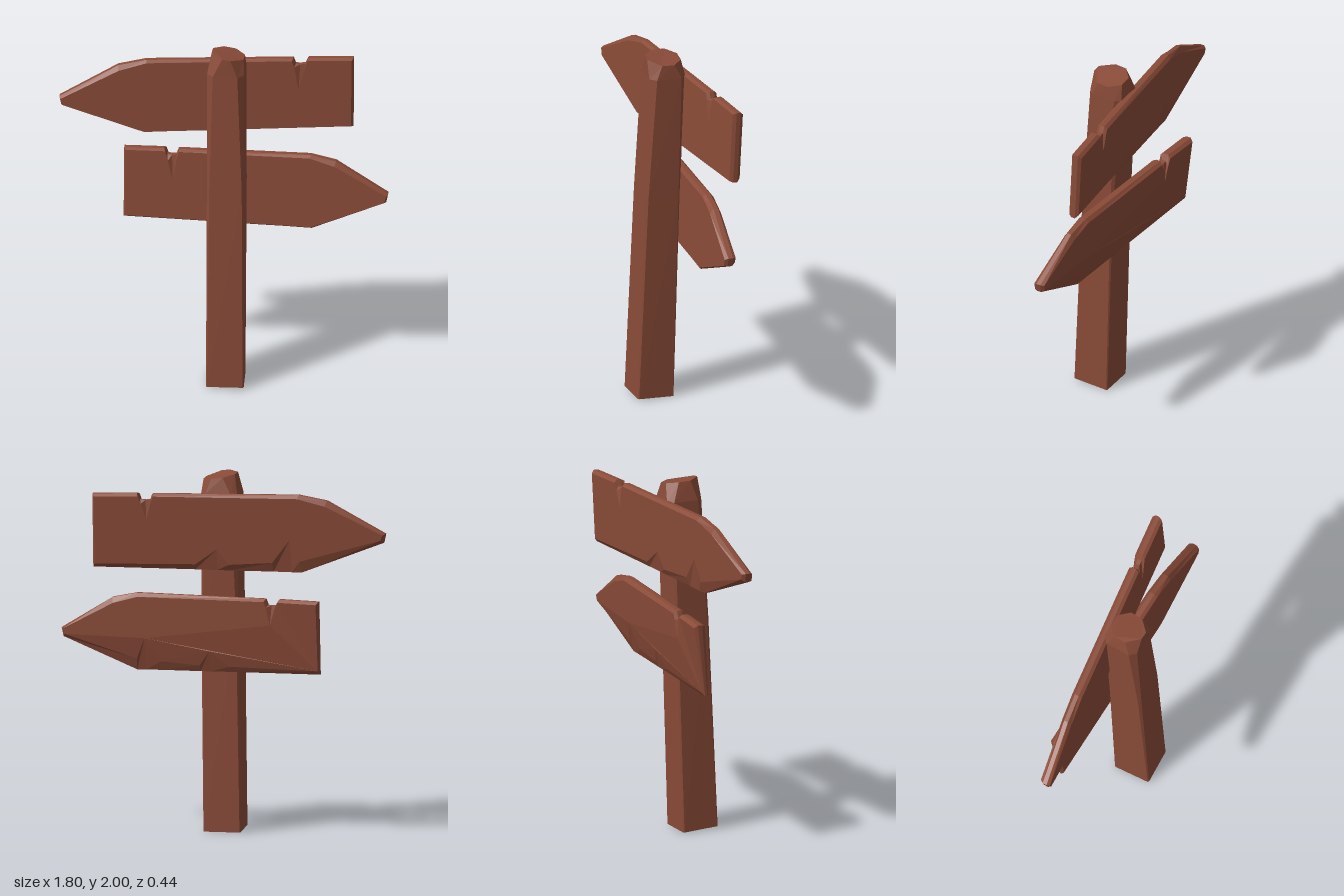
import * as THREE from 'three';

// Faceted solid through matching rings (counter-clockwise seen from +z, ordered from +z to -z)
function loft(rings) {
  const pos = [], n = rings[0].length;
  const tri = (a, b, c) => pos.push(...a, ...b, ...c);
  const cap = (ring, flip) => {
    const flat = ring.map(p => new THREE.Vector2(p[0], p[1]));
    for (const [a, b, c] of THREE.ShapeUtils.triangulateShape(flat, [])) {
      if (flip) tri(ring[c], ring[b], ring[a]);
      else tri(ring[a], ring[b], ring[c]);
    }
  };
  for (let k = 0; k < rings.length - 1; k++) {
    const f = rings[k], g = rings[k + 1];
    for (let i = 0; i < n; i++) {
      const j = (i + 1) % n;
      tri(f[i], g[i], f[j]);
      tri(f[j], g[i], g[j]);
    }
  }
  cap(rings[0], false);
  cap(rings[rings.length - 1], true);
  const geo = new THREE.BufferGeometry();
  geo.setAttribute('position', new THREE.Float32BufferAttribute(pos, 3));
  geo.computeVertexNormals();
  return geo;
}

// Arrow board outline: [x, rim y, front face y, back face y]
const outline = [
  [-0.56, 0.91, 0.918, 0.93],
  [-0.05, 0.904, 0.911, 0.935],
  [0.06, 0.902, 0.909, 1.02], // chipped lower back edge
  [0.12, 0.901, 0.908, 0.935],
  [0.34, 0.899, 0.906, 0.95],
  [0.43, 0.897, 0.904, 1.08], // hewn dent behind the point
  [0.48, 0.896, 0.903, 0.96],
  [0.89, 1.07, 1.073, 1.085],
  [0.9, 1.12, 1.112, 1.115],
  [0.61, 1.3, 1.275, 1.27],
  [0.47, 1.33, 1.318, 1.31],
  [-0.26, 1.325, 1.316, 1.31], // split in the top edge
  [-0.272, 1.29, 1.28, 1.28],
  [-0.295, 1.288, 1.14, 1.18],
  [-0.322, 1.29, 1.26, 1.27],
  [-0.338, 1.325, 1.316, 1.31],
  [-0.56, 1.32, 1.312, 1.305],
];

// place maps outline x; zAt gives the front face depth, thickAt the thickness at an outline height
function boardGeometry(mirrored, place, lift, zAt, thickAt) {
  const ring = (column, inset, depth) => {
    const pts = outline.map(row => {
      const x = place(0.165 + (row[0] - 0.165) * inset), y = row[column] + lift;
      return [x, y, zAt(x, y) - depth * thickAt(row[column])];
    });
    return mirrored ? pts.reverse() : pts;
  };
  return loft([ring(2, 0.988, 0), ring(1, 1, 0.3), ring(1, 1, 0.7), ring(3, 0.985, 1)]);
}

// Octagonal post section, slightly turned by skew, with separate front and back corner cuts
function section(x0, x1, z0, z1, front, back, skew, heightAt) {
  return [
    [x0 + front, z1], [x1 - front, z1], [x1, z1 - front], [x1, z0 + back],
    [x1 - back, z0], [x0 + back, z0], [x0, z0 + back], [x0, z1 - front],
  ].map(([x, z]) => {
    const px = x - skew * (z1 - z), pz = z - skew * (x - x0);
    return [px, -pz, heightAt(px, pz)];
  });
}

export function createModel() {
  const model = new THREE.Group();
  model.name = 'signpost';
  const wood = new THREE.MeshStandardMaterial({ color: 0x8a4b38 });
  wood.name = 'reddish brown wood';
  wood.flatShading = true;

  const add = (name, geometry) => {
    const mesh = new THREE.Mesh(geometry, wood);
    mesh.name = name;
    model.add(mesh);
  };

  // Leaning post with worn corners, built along z and stood upright
  const top = (x, z) => 2 - Math.max(0, x - 0.03) * 0.35 - Math.max(0, -z) * 0.25;
  const post = loft([
    section(-0.062, 0.115, -0.066, 0.125, 0.066, 0.055, 0, top),
    section(-0.082, 0.122, -0.078, 0.128, 0.034, 0.03, 0.02, () => 1.89),
    section(-0.077, 0.13, -0.034, 0.165, 0.014, 0.01, 0.04, () => 1.2),
    section(-0.075, 0.132, 0.007, 0.217, 0.006, 0.005, 0.065, (x, z) => Math.max(0, z) * 0.06),
  ]);
  post.rotateX(-Math.PI / 2);
  add('post', post);

  // Upper board points to the model's right and is swung askew
  add('upperBoard', boardGeometry(true, x => -(1.095 * x - 0.083), 0.57,
    (x, y) => -0.05 - 0.148 * x - 0.05 * (y - 1.69), () => 0.06));
  // Lower board points to the model's left, its back hewn thinner towards the bottom
  add('lowerBoard', boardGeometry(false, x => x, 0,
    (x, y) => -0.047 - 0.05 * (y - 1.1),
    y => 0.064 - Math.max(0, 1.06 - y) * 0.22));
  return model;
}
